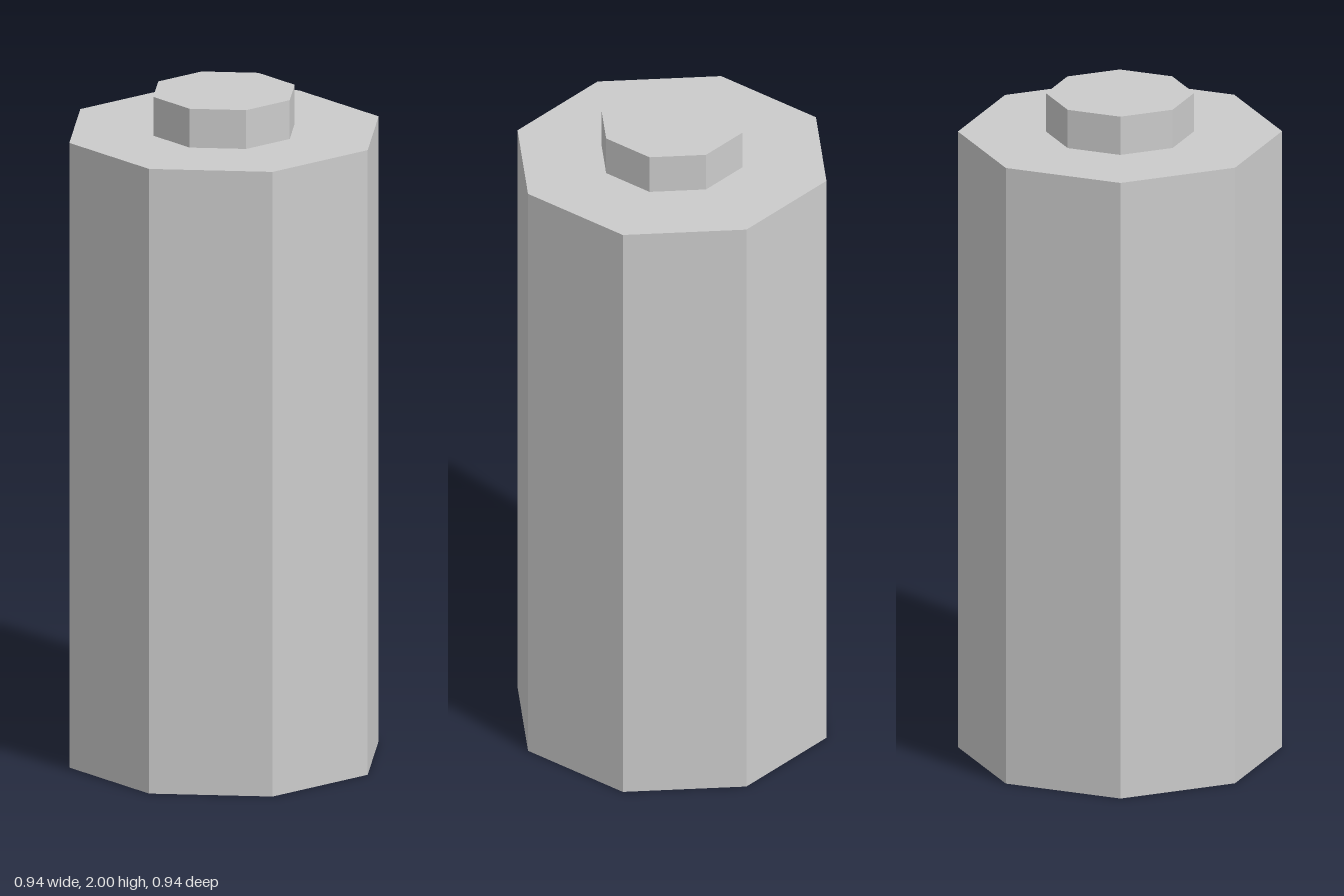
import * as THREE from 'three';

const SIDES = 8;

export function createModel() {
  const group = new THREE.Group();
  const material = new THREE.MeshStandardMaterial({ color: 0xcccccc, flatShading: true });

  // Turns a [radius, height] profile, listed from the bottom up, into an octagonal part
  const addTurned = (name, profile) => {
    const points = profile.map(([r, y]) => new THREE.Vector2(r, y));
    const mesh = new THREE.Mesh(new THREE.LatheGeometry(points, SIDES), material);
    mesh.name = name;
    group.add(mesh);
  };

  // Casing with a shallow recess in its base
  addTurned('casing', [
    [0, 0.027], [0.395, 0.027], [0.395, 0], [0.47, 0], [0.47, 1.883], [0, 1.883],
  ]);

  // Raised contact on top
  addTurned('terminal', [[0.215, 1.883], [0.215, 2], [0, 2]]);

  return group;
}
